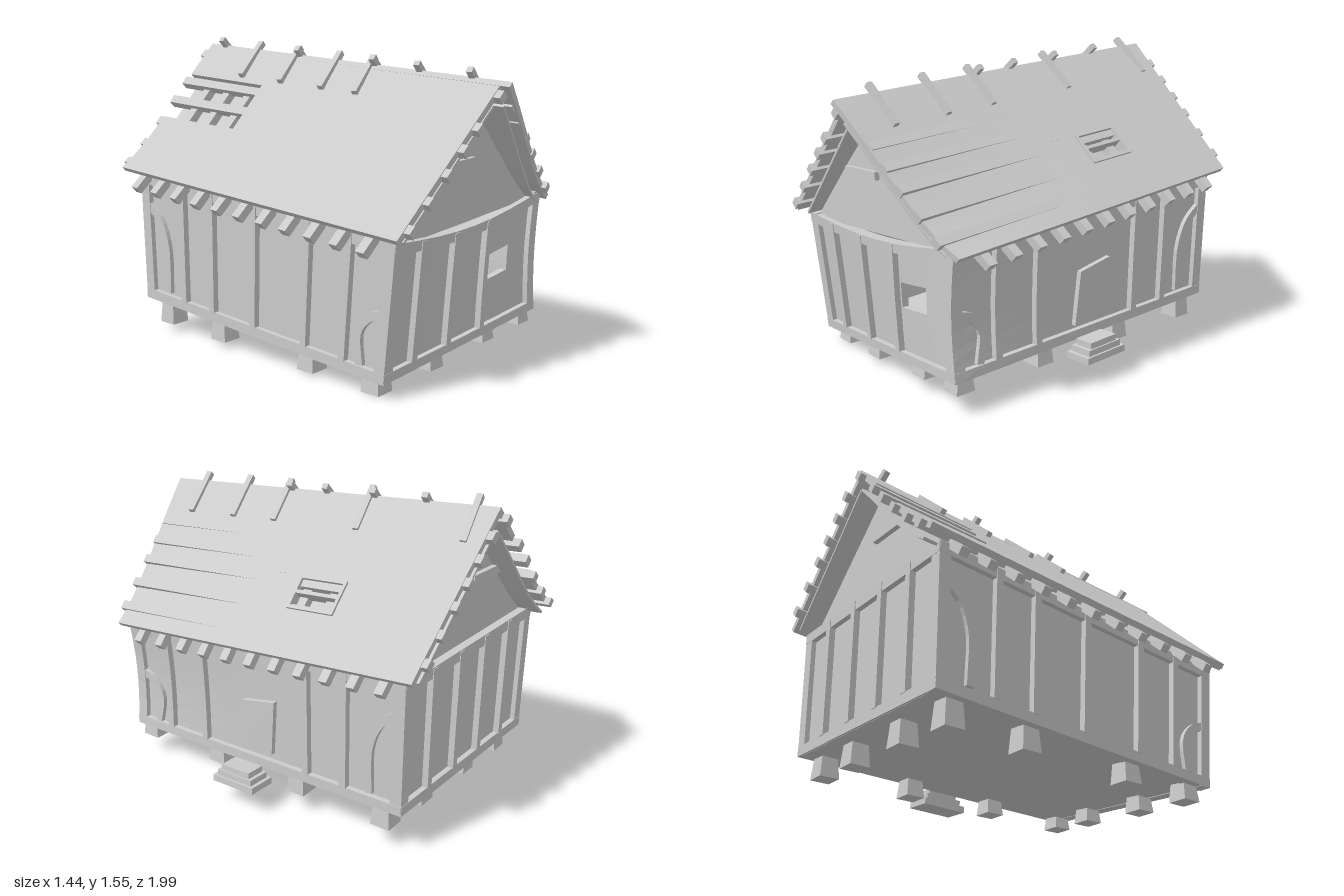
import * as THREE from 'three';

const V = (x, y, z) => new THREE.Vector3(x, y, z);
const lerp = THREE.MathUtils.lerp;
const mat = new THREE.MeshStandardMaterial({ color: 0xcccccc, flatShading: true, side: THREE.DoubleSide });

// Corner order: front left-hand, front right-hand, back right-hand, back left-hand (seen from the front)
const BASE = [V(-0.61, 0.08, 0.74), V(0.575, 0.17, 0.8), V(0.575, 0.215, -0.87), V(-0.61, 0.18, -0.87)];
const TOP = [V(-0.62, 0.72, 0.81), V(0.59, 0.79, 0.81), V(0.585, 0.87, -0.88), V(-0.62, 0.86, -0.88)];
const OUT = [V(0, 0, 1), V(1, 0, 0), V(0, 0, -1), V(-1, 0, 0)];

// Point on wall i: u along it, v up it, d outwards
function wallPoint(i, u, v, d) {
  const j = (i + 1) % 4;
  const p = BASE[i].clone().lerp(BASE[j], u).lerp(TOP[i].clone().lerp(TOP[j], u), v);
  const bend = i === 0 ? u : i === 1 ? 1 - u : 0;
  p.x -= 0.025 * Math.sin(Math.PI * v) * bend ** 3;
  if (i === 0) p.y -= 0.05 * v * Math.sin(Math.PI * u);
  return p.addScaledVector(OUT[i], d);
}

// Point on a roof slope: s from ridge to eave, t from front to back, d upwards
function roofPoint(side, s, t, d, sagging = true) {
  const ridge = V(lerp(-0.03, -0.02, t), lerp(1.375, 1.52, t), lerp(side < 0 ? 0.945 : 0.995, -0.965, t));
  const eave = side < 0 ? V(-0.68, lerp(0.75, 0.885, t), lerp(0.86, -0.96, t))
    : V(0.645, lerp(0.765, 0.91, t), lerp(0.825, -0.94, t));
  const p = ridge.lerp(eave, s);
  const shape = Math.sin(Math.PI * Math.min(1, Math.max(0, s)) ** 1.8);
  if (side < 0) p.y -= 0.035 * shape * t;
  else if (sagging) p.y -= 0.04 * shape * Math.max(0, 1 - t / 0.5);
  return p.add(V(side * 0.7 * d, 0.72 * d, 0));
}

export function createModel() {
  const root = new THREE.Group();
  const add = (name, geo, parent = root) => {
    const m = new THREE.Mesh(geo, mat);
    m.name = name;
    parent.add(m);
    return m;
  };
  const group = (name) => {
    const g = new THREE.Group();
    g.name = name;
    root.add(g);
    return g;
  };

  // Slab following a surface f(u, v, d)
  function patch(name, f, u0, u1, v0, v1, d0, d1, parent, nu = 1, nv = 1) {
    const geo = new THREE.BoxGeometry(1, 1, 1, nu, nv, 1);
    const a = geo.attributes.position;
    for (let i = 0; i < a.count; i++) {
      const p = f(lerp(u0, u1, a.getX(i) + 0.5), lerp(v0, v1, a.getY(i) + 0.5), lerp(d0, d1, a.getZ(i) + 0.5));
      a.setXYZ(i, p.x, p.y, p.z);
    }
    geo.computeVertexNormals();
    return add(name, geo, parent);
  }
  // Slab over the unit square with a rectangular opening
  function openPatch(name, f, [u0, u1, v0, v1], d0, d1, parent) {
    for (const [a, b, c, e] of [[0, u0, 0, 1], [u1, 1, 0, 1], [u0, u1, 0, v0], [u0, u1, v1, 1]])
      if (b > a && e > c) patch(name, f, a, b, c, e, d0, d1, parent, 8, 12);
  }
  // Straight squared timber between two points
  function beam(name, a, b, w, h, parent) {
    const m = add(name, new THREE.BoxGeometry(w, h, a.distanceTo(b)), parent);
    m.position.copy(a).add(b).multiplyScalar(0.5);
    m.lookAt(b);
    return m;
  }

  // Walls: recessed panels, outer frame and posts
  const names = ['frontWall', 'rightWall', 'backWall', 'leftWall'];
  const posts = [[0.17, 0.381, 0.605], [0.15, 0.295, 0.68, 0.81], [0.2, 0.4, 0.6, 0.8], [0.19, 0.32, 0.5, 0.705, 0.85]];
  names.forEach((name, i) => {
    const g = group(name);
    const f = (u, v, d) => wallPoint(i, u, v, d);
    const len = i % 2 ? 1.67 : 1.19, w = 0.06 / len;
    if (i === 0) openPatch('panel', f, [0.63, 0.805, 0.45, 0.665], -0.06, -0.025, g);
    else patch('panel', f, 0.01, 0.99, 0, 1, -0.06, -0.025, g, 8, 8);
    patch('cornerPost', f, 0, w, 0, 1, -0.06, 0, g, 1, 8);
    patch('cornerPost', f, 1 - w, 1, 0, 1, -0.06, 0, g, 1, 8);
    patch('sill', f, 0, 1, 0, 0.075, -0.06, 0.002, g, 8);
    patch('topPlate', f, 0, 1, 0.92, 1, -0.06, 0.002, g, 8);
    for (const u of posts[i]) patch('post', f, u - 0.018 / len, u + 0.018 / len, 0.07, 0.99, -0.03, 0.006, g, 1, 6);
    if (i % 2 === 0) return;
    // Curved corner braces, drawn as (distance along, height) in wall units
    const braces = [[[0.03, 0.31], [0.11, 0.28], [0.17, 0.2], [0.15, 0.05]],
      [[1.62, 0.47], [1.54, 0.41], [1.49, 0.29], [1.49, 0.06]]];
    for (const pts of braces) {
      const q = i === 3 ? pts.map(([x, y]) => [1.67 - x, y]) : pts;
      const c = new THREE.CatmullRomCurve3(q.map(([x, y]) => V(x, y, 0)));
      patch('brace', (k, n, d) => {
        const p = c.getPoint(k), t = c.getTangent(k);
        return f((p.x - t.y * n) / 1.67, (p.y + t.x * n) / 0.63, d);
      }, 0, 1, -0.02, 0.02, -0.03, -0.003, g, 10);
    }
  });

  // Crooked door on the right wall
  patch('door', (u, v, d) => wallPoint(1, lerp(lerp(0.437, 0.557, u), lerp(0.455, 0.57, u), v),
    lerp(lerp(0.11, 0.13, u), lerp(0.53, 0.58, u), v), d), 0, 1, 0, 1, -0.03, 0);

  // Floor
  const floorPoint = (u, v, d = 0) => {
    const p = BASE[0].clone().lerp(BASE[1], u).lerp(BASE[3].clone().lerp(BASE[2], u), v);
    p.y += d;
    return p;
  };
  patch('floor', floorPoint, 0.005, 0.995, 0.005, 0.995, 0, 0.03, root, 6, 6);

  // Footing stones around the edge
  const feet = group('footings');
  const xs = [-0.53, -0.19, 0.22, 0.51];
  xs.forEach((x, i) => [[0.64, 0.68, 0.7, 0.73][i], 0.25, [-0.35, 0, 0, -0.26][i], -0.75].forEach((z, j) => {
    if (i % 3 && j % 3) return;
    const v = (0.78 - z) / 1.65;
    const h = 0.103 - 0.007 * i + 0.045 * v;
    const m = add('footing', new THREE.CylinderGeometry(0.058, 0.072, h, 4).rotateY(Math.PI / 4), feet);
    m.position.set(x, floorPoint((x + 0.61) / 1.18, v).y + 0.02 - h / 2, z);
  }));

  // Door step
  const step = group('doorStep');
  [[0.145, 0.25], [0.12, 0.21], [0.1, 0.17]].forEach(([w, l], k) => {
    const m = add('stepSlab', new THREE.BoxGeometry(w, 0.033, l), step);
    m.position.set(0.648, 0.135 + k * 0.03, 0);
    m.rotation.set(0.03, 0, 0.04);
  });

  // Gables with a cross board
  const gables = [
    { z: 0.75, pts: [[-0.6, 0.69], [0.58, 0.76], [0.3, 0.95], [-0.03, 1.29]], by: 1 },
    { z: -0.84, pts: [[-0.6, 0.84], [0.57, 0.86], [-0.02, 1.41], [-0.4, 1.04]], by: 1.16 }];
  for (const { z, pts, by } of gables) {
    const shape = new THREE.Shape(pts.map(([x, y]) => new THREE.Vector2(x, y)));
    add('gable', new THREE.ExtrudeGeometry(shape, { depth: 0.03, bevelEnabled: false })).position.z = z;
    const bz = z + 0.015 + Math.sign(z) * 0.025;
    beam('gableBoard', V(-0.27, by - 0.005, bz), V(-0.01, by + 0.005, bz), 0.03, 0.04);
  }

  // Roof slopes: broken patch at the back on one side, skylight on the other
  const roof = group('roof');
  const left = (s, t, d) => roofPoint(-1, s, t, d), right = (s, t, d) => roofPoint(1, s, t, d);
  const sky = [0.53, 0.73, 0.56, 0.705];
  openPatch('leftSlope', left, [0.25, 0.56, 0.705, 1], -0.03, 0, roof);
  openPatch('rightSlope', right, sky, -0.03, 0, roof);
  const [a, b, c, e] = sky;
  for (const q of [[a, a + 0.02, c, e], [b - 0.02, b, c, e], [a, b, c, c + 0.009], [a, b, e - 0.009, e],
    [0.62, 0.64, c, e]]) patch('skylightFrame', right, ...q, -0.05, 0.012, roof);

  // Inner lining, purlins bedded in the slopes, rafters with tails below them
  const purlinX = { '-1': [-0.08, -0.22, -0.31, -0.41, -0.52, -0.63], 1: [0.08, 0.17, 0.26, 0.35, 0.455, 0.56] };
  for (const side of [-1, 1]) {
    const slope = (s, t, d) => roofPoint(side, s, t, d);
    patch('lining', slope, 0.09, 0.96, 0.015, 0.995, -0.082, -0.07, roof, 8, 12);
    for (const x of purlinX[side]) {
      const s = (Math.abs(x) + 0.03 * side) / (side < 0 ? 0.65 : 0.67);
      patch('purlin', (u, t, d) => roofPoint(side, u, t, d, false), s - 0.025, s + 0.025,
        side < 0 ? -0.018 : lerp(0.012, -0.02, s), 1.017, -0.045, -0.004, roof);
    }
    for (let k = 0; k < 11; k++) {
      const t = 0.088 + k * 0.083;
      patch('rafter', slope, 0.03, side < 0 ? 1.09 : 1.07, t - 0.0125, t + 0.0125, -0.07, -0.028, roof, 8);
    }
  }

  // Crossed sticks over the ridge
  const sticks = group('ridgeSticks');
  const stick = (side, z) => {
    const y = lerp(1.375, 1.52, (0.995 - z) / 1.96) - 0.025;
    const x = -0.025;
    beam('ridgeStick', V(x - side * 0.035, y + 0.06, z + 0.012 * side), V(x + side * 0.15, y - 0.11, z - 0.012 * side), 0.03, 0.03, sticks);
  };
  for (const z of [0.78, 0.485, 0.215, -0.285, -0.855]) stick(1, z);
  for (const z of [0.2, -0.02, -0.3, -0.585]) stick(-1, z);

  return root;
}
